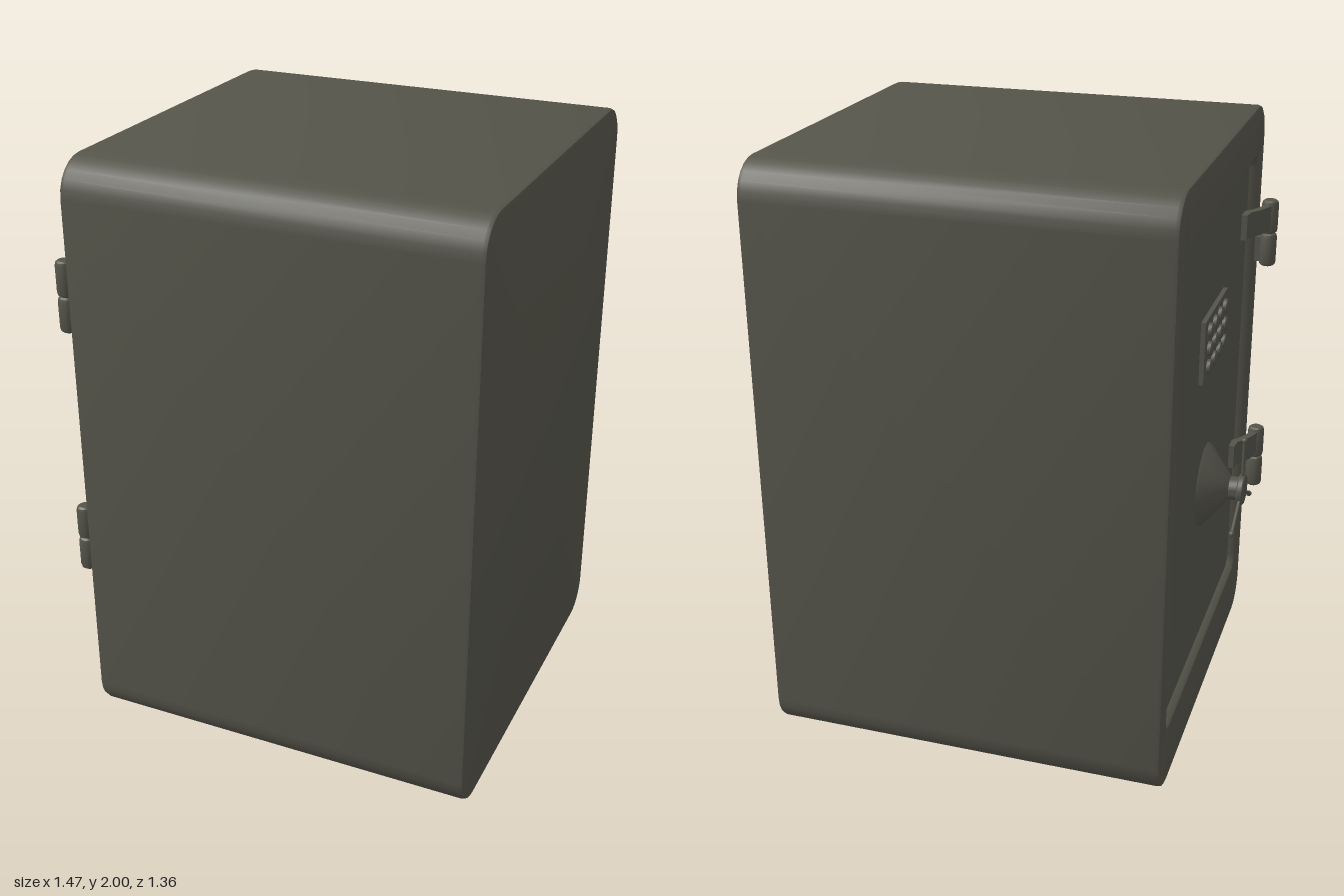
import * as THREE from 'three';
import { toCreasedNormals } from 'three/addons/utils/BufferGeometryUtils.js';

const steel = new THREE.MeshStandardMaterial({ color: 0x55544a });
steel.name = 'dark olive steel';

function add(parent, name, geometry, x = 0, y = 0, z = 0) {
  const mesh = new THREE.Mesh(geometry, steel);
  mesh.name = name;
  mesh.position.set(x, y, z);
  parent.add(mesh);
  return mesh;
}

// Rounded rectangle in the z-y plane at a given x
function ring(x, z0, z1, y0, y1, r, steps = 6) {
  const corners = [[z1 - r, y1 - r], [z0 + r, y1 - r], [z0 + r, y0 + r], [z1 - r, y0 + r]];
  const points = [];
  corners.forEach(([z, y], c) => {
    for (let i = 0; i <= steps; i++) {
      const a = (c + i / steps) * Math.PI / 2;
      points.push([x, y + r * Math.sin(a), z + r * Math.cos(a)]);
    }
  });
  return points;
}

// Skin over a list of rings; a ring shrunk to a point closes the end
function loft(rings, crease) {
  const n = rings[0].length;
  const pos = [];
  for (let i = 0; i < rings.length - 1; i++) {
    for (let j = 0; j < n; j++) {
      const k = (j + 1) % n;
      const a = rings[i][j], b = rings[i][k], c = rings[i + 1][k], d = rings[i + 1][j];
      if (i > 0) pos.push(...a, ...b, ...c);
      if (i < rings.length - 2 || i === 0) pos.push(...a, ...c, ...d);
    }
  }
  const g = new THREE.BufferGeometry();
  g.setAttribute('position', new THREE.Float32BufferAttribute(pos, 3));
  return toCreasedNormals(g, crease);
}

function lathe(profile, segments) {
  const g = new THREE.LatheGeometry(profile.map(([r, y]) => new THREE.Vector2(r, y)), segments);
  return toCreasedNormals(g.toNonIndexed(), 0.6);
}

const FLOOR = -0.595;  // door surface

// Cabinet with a softened edge at both ends and a shallow door recess
function cabinet() {
  const outer = (x, inset) => ring(x, -0.68 + inset, 0.68 - inset, inset, 2 - inset, 0.12 - inset);
  const opening = (x, inset) => ring(x, -0.6 + inset, 0.55 - inset, 0.22 + inset, 1.83 - inset, 0.04);
  const point = (x, z) => ring(x, z, z, 1.02, 1.02, 0);
  return loft([
    point(0.73, 0),
    outer(0.73, 0.015), outer(0.726, 0.004), outer(0.715, 0),
    outer(-0.605, 0), outer(-0.616, 0.004), outer(-0.62, 0.015),
    opening(-0.62, -0.005), opening(-0.615, 0), opening(FLOOR, 0.005),
    point(FLOOR, -0.02),
  ], 0.7);
}

// Conical boss, hub and three spokes with ball ends
function handle() {
  const g = new THREE.Group();
  g.name = 'doorHandle';
  const boss = lathe([
    [0, 0], [0.145, 0], [0.14, 0.008], [0.05, 0.082], [0.04, 0.09], [0.04, 0.118],
    [0.048, 0.118], [0.052, 0.122], [0.052, 0.136], [0.048, 0.14], [0, 0.14],
  ], 32);
  boss.rotateZ(Math.PI / 2);
  add(g, 'handleBoss', boss);
  for (let i = 0; i < 3; i++) {
    const spoke = new THREE.Group();
    spoke.name = 'spoke' + (i + 1);
    add(spoke, 'spokeRod', new THREE.CylinderGeometry(0.006, 0.006, 0.15, 10), 0, 0.105, 0);
    add(spoke, 'spokeTip', new THREE.SphereGeometry(0.01, 12, 8), 0, 0.18, 0);
    spoke.position.x = -0.13;
    spoke.rotation.x = i * Math.PI * 2 / 3;
    g.add(spoke);
  }
  g.position.set(FLOOR, 0.83, -0.02);
  return g;
}

// Plate with a grid of round buttons
function keypad() {
  const g = new THREE.Group();
  g.name = 'keypad';
  add(g, 'keypadPlate', new THREE.BoxGeometry(0.02, 0.21, 0.36), -0.005, 0, 0);
  const button = lathe([[0.024, 0], [0.024, 0.011], [0.019, 0.015], [0, 0.015]], 14);
  button.rotateZ(Math.PI / 2);
  for (let row = 0; row < 3; row++) {
    for (let col = 0; col < 4; col++) {
      add(g, 'keypadButton', button, -0.015, (row - 1) * 0.062, (col - 1.5) * 0.08);
    }
  }
  g.position.set(FLOOR, 1.37, -0.02);
  return g;
}

// Two knuckles, a curved strap to the door and a leaf on the cabinet
function hinge(name, y) {
  const g = new THREE.Group();
  g.name = name;
  const knuckle = lathe([
    [0, -0.06], [0.02, -0.06], [0.027, -0.055], [0.03, -0.045],
    [0.03, 0.045], [0.027, 0.055], [0.02, 0.06], [0, 0.06],
  ], 20);
  add(g, 'upperKnuckle', knuckle, -0.665, 0.06, 0.615);
  add(g, 'lowerKnuckle', knuckle, -0.665, -0.06, 0.615);

  const s = new THREE.Shape();
  s.moveTo(-0.68, -0.61);
  s.quadraticCurveTo(-0.66, -0.53, -0.62, -0.485);
  s.lineTo(-0.615, -0.44);
  s.lineTo(-0.59, -0.44);
  s.lineTo(-0.59, -0.49);
  s.quadraticCurveTo(-0.64, -0.54, -0.65, -0.61);
  const strap = new THREE.ExtrudeGeometry(s, { depth: 0.09, bevelEnabled: false, curveSegments: 8 });
  strap.rotateX(-Math.PI / 2);
  add(g, 'doorStrap', toCreasedNormals(strap, 0.5), 0, 0.015, 0);
  add(g, 'cabinetLeaf', new THREE.BoxGeometry(0.05, 0.09, 0.03), -0.635, -0.06, 0.615);
  g.position.y = y;
  return g;
}

export function createModel() {
  const safe = new THREE.Group();
  safe.name = 'safe';
  add(safe, 'cabinet', cabinet());
  safe.add(handle(), keypad(), hinge('upperHinge', 1.54), hinge('lowerHinge', 0.665));
  return safe;
}
